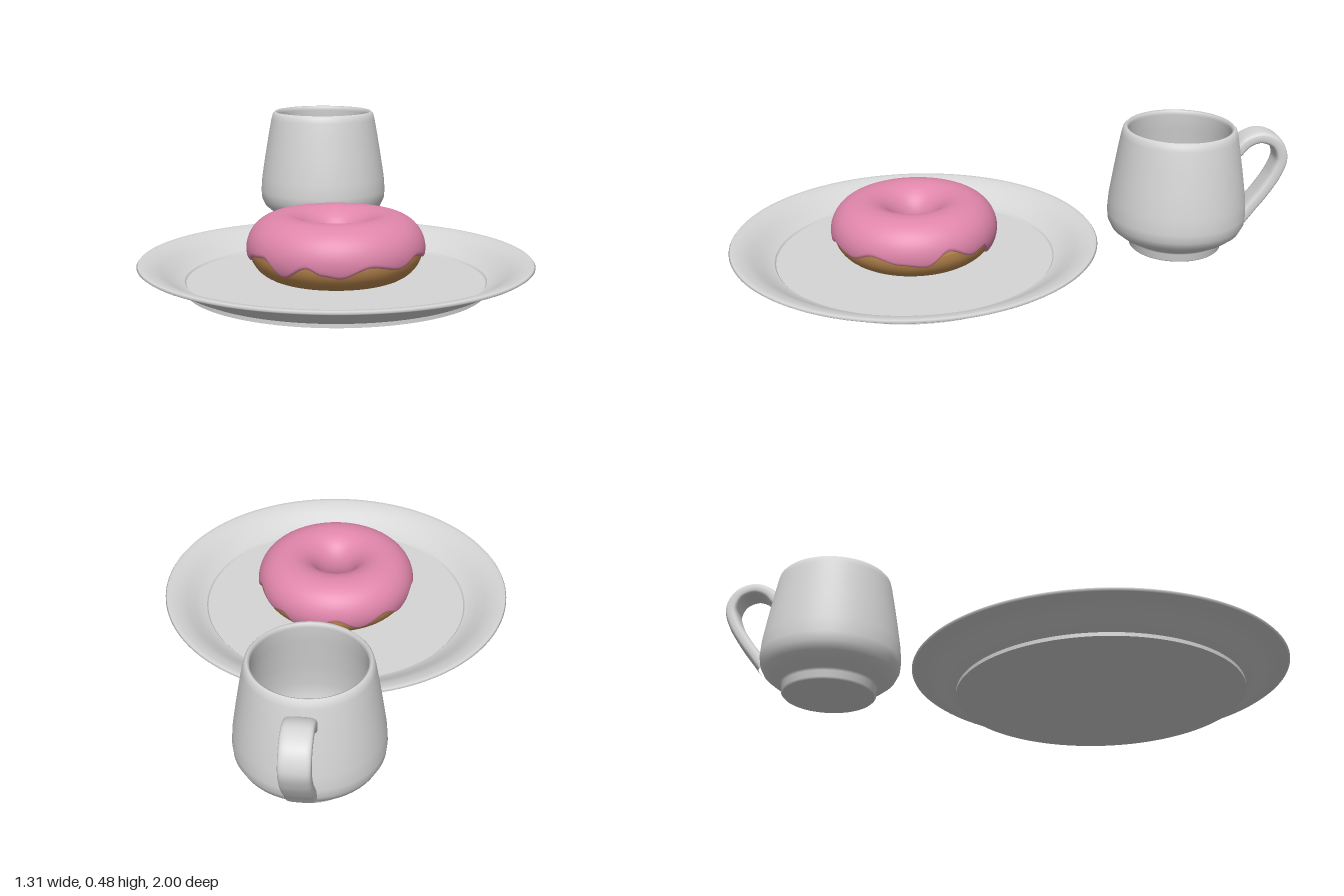
import * as THREE from 'three';
import { ParametricGeometry } from 'three/addons/geometries/ParametricGeometry.js';

const ceramic = new THREE.MeshStandardMaterial({ color: 0xd6d6d6 });
ceramic.name = 'ceramic';
const icingPink = new THREE.MeshStandardMaterial({ color: 0xe086ab, side: THREE.DoubleSide });
icingPink.name = 'icingPink';
const doughBrown = new THREE.MeshStandardMaterial({ color: 0xc08c50 });
doughBrown.name = 'doughBrown';

function mesh(name, geometry, material) {
  const m = new THREE.Mesh(geometry, material);
  m.name = name;
  return m;
}

// Turned part from [radius, y] pairs; a repeated pair makes a sharp edge
function turned(name, profile, material, segments = 96) {
  const points = profile.map(([r, y]) => new THREE.Vector2(r, y));
  return mesh(name, new THREE.LatheGeometry(points, segments), material);
}

// Doughnut ring section
const RING = 0.18, TUBE_R = 0.107, TUBE_H = 0.102, MID_Y = 0.135;
function ringPoint(a, grow) {
  return [RING + (TUBE_R + grow) * Math.cos(a), MID_Y + (TUBE_H + grow) * Math.sin(a)];
}

// Lower icing edge: [degrees round from the front, height]
const drips = [
  [0, 0.088], [20, 0.122], [42, 0.102], [59, 0.132], [80, 0.108], [97, 0.098], [113, 0.15],
  [132, 0.108], [144, 0.12], [156, 0.07], [186, 0.13], [204, 0.085], [224, 0.125], [240, 0.09],
  [262, 0.138], [280, 0.1], [293, 0.125], [306, 0.133], [322, 0.078], [339, 0.12], [350, 0.097],
  [360, 0.088],
];
function dripHeight(deg) {
  let i = 0;
  while (i < drips.length - 2 && deg > drips[i + 1][0]) i++;
  const [d0, h0] = drips[i], [d1, h1] = drips[i + 1];
  return THREE.MathUtils.lerp(h0, h1, THREE.MathUtils.smoothstep(deg, d0, d1));
}

function createDoughnut() {
  const doughnut = new THREE.Group();
  doughnut.name = 'doughnut';

  const section = [];
  for (let i = 0; i <= 40; i++) section.push(ringPoint((i / 40) * Math.PI * 2, 0));
  doughnut.add(turned('dough', section, doughBrown));

  // Icing shell with a wavy outer edge, rounded down onto the dough
  const innerEnd = Math.PI * 1.3;
  const icing = new ParametricGeometry((u, v, target) => {
    const start = Math.asin((dripHeight(u * 360) - MID_Y) / (TUBE_H + 0.01));
    const a = start + (innerEnd - start) * Math.pow(v, 1.4);
    const lip = Math.min(1, (a - start) / 0.14, (innerEnd - a) / 0.14);
    const thickness = 0.009 * Math.sqrt(Math.max(0, 1 - (1 - lip) ** 2));
    const [r, y] = ringPoint(a, thickness);
    const turn = u * Math.PI * 2;
    target.set(r * Math.sin(turn), y, r * Math.cos(turn));
  }, 180, 48);
  doughnut.add(mesh('icing', icing, icingPink));
  return doughnut;
}

function createPlate() {
  return turned('plate', [
    [0, 0], [0.5, 0], [0.5, 0], [0.5, 0.013], [0.5, 0.013],
    [0.525, 0.024], [0.56, 0.046], [0.59, 0.065], [0.62, 0.076], [0.648, 0.081],
    [0.655, 0.086], [0.65, 0.092], [0.635, 0.092],
    [0.605, 0.085], [0.575, 0.07], [0.545, 0.05], [0.515, 0.034], [0.5, 0.03], [0.5, 0.03],
    [0.495, 0.024], [0.495, 0.024], [0, 0.024],
  ], ceramic, 128);
}

function createMug() {
  const mug = new THREE.Group();
  mug.name = 'mug';
  mug.add(turned('mugBody', [
    [0, 0.022], [0.16, 0.022], [0.16, 0.022], [0.166, 0.028], [0.166, 0.052], [0.172, 0.06],
    [0.205, 0.077], [0.233, 0.1], [0.247, 0.128], [0.25, 0.16], [0.246, 0.215],
    [0.233, 0.3], [0.218, 0.39], [0.207, 0.45], [0.202, 0.469], [0.193, 0.479],
    [0.186, 0.476], [0.183, 0.462],
    [0.192, 0.4], [0.21, 0.29], [0.222, 0.2], [0.22, 0.14], [0.2, 0.1],
    [0.165, 0.078], [0.145, 0.073], [0.145, 0.073], [0.14, 0.066], [0.14, 0.066], [0, 0.066],
  ], ceramic));

  // Handle: flat rounded band swept along a loop behind the mug
  const path = new THREE.CatmullRomCurve3([
    [0.385, -0.205], [0.422, -0.24], [0.438, -0.29], [0.415, -0.345], [0.36, -0.369],
    [0.3, -0.352], [0.23, -0.31], [0.17, -0.265], [0.125, -0.232],
  ].map(([y, z]) => new THREE.Vector3(0, y, z)));
  const soften = (s) => Math.sign(s) * Math.sqrt(Math.abs(s));
  const band = new ParametricGeometry((u, v, target) => {
    const c = path.getPoint(v), t = path.getTangent(v), a = u * Math.PI * 2;
    const across = 0.05 * soften(Math.cos(a)), out = 0.022 * soften(Math.sin(a));
    target.set(across, c.y + out * t.z, c.z - out * t.y);
  }, 32, 48);
  mug.add(mesh('mugHandle', band, ceramic));
  return mug;
}

export function createModel() {
  const model = new THREE.Group();
  model.name = 'breakfastSet';
  const plate = createPlate(), doughnut = createDoughnut(), mug = createMug();
  plate.position.z = 0.343;
  doughnut.position.z = 0.343;
  mug.position.set(-0.013, 0, -0.609);
  model.add(plate, doughnut, mug);
  return model;
}
